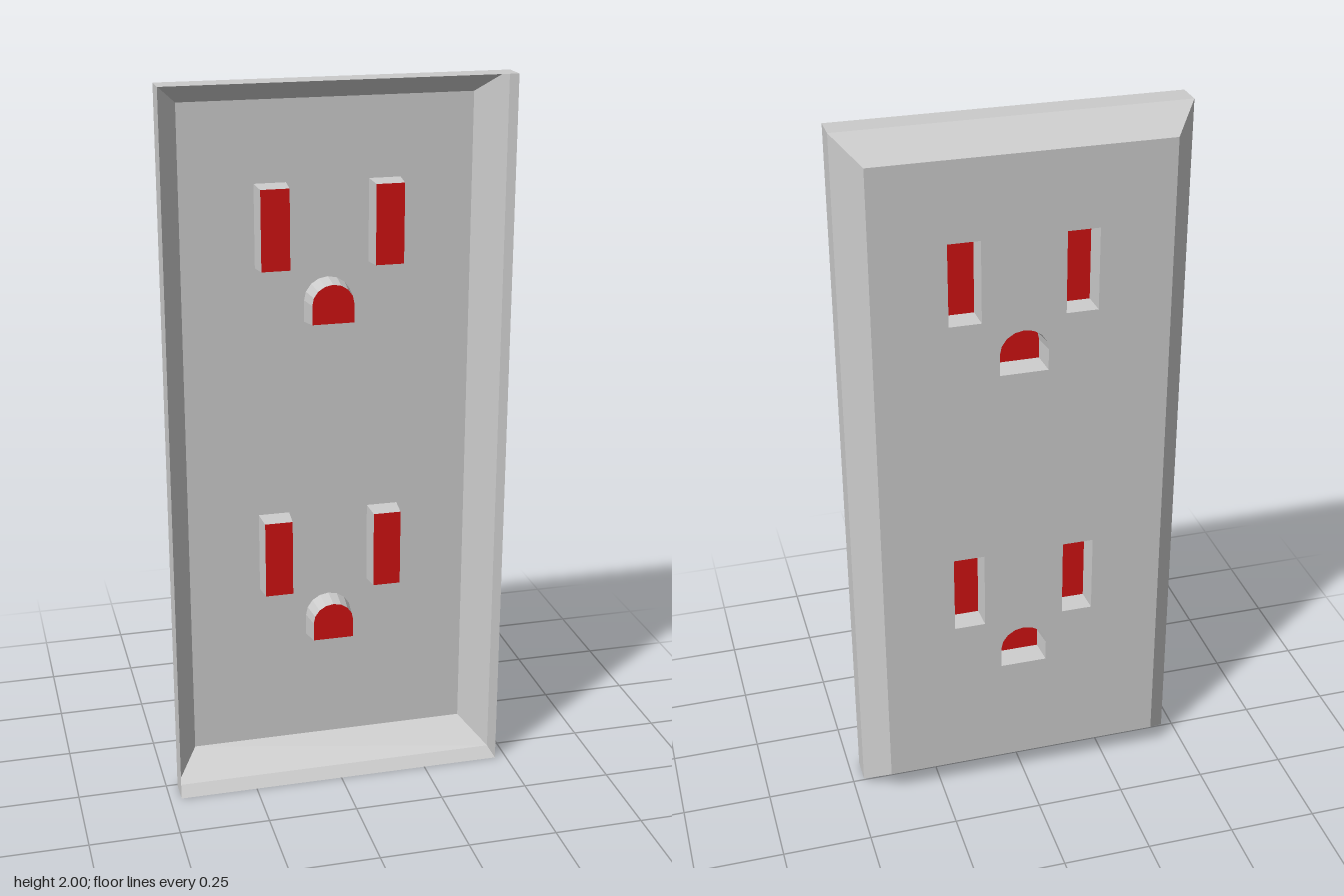
import * as THREE from 'three';

const FACE_Z = -0.08, EDGE_Z = 0.005, RIM_Z = 0.078, POCKET_Z = -0.018;
const grey = new THREE.MeshStandardMaterial({ color: 0xcccccc, side: THREE.DoubleSide, flatShading: true });
const red = new THREE.MeshStandardMaterial({ color: 0xd01212, side: THREE.DoubleSide, flatShading: true });

// Counter-clockwise rectangle outline
const rect = (x0, x1, y0, y1) =>
  [[x0, y0], [x1, y0], [x1, y1], [x0, y1]].map(([x, y]) => new THREE.Vector2(x, y));

// Arched outline: flat base, straight sides, half-round top
function arch(halfWidth, base, spring, top, segments = 8) {
  const pts = [new THREE.Vector2(-halfWidth, base), new THREE.Vector2(halfWidth, base)];
  for (let i = 0; i <= segments; i++) {
    const a = (Math.PI * i) / segments;
    pts.push(new THREE.Vector2(halfWidth * Math.cos(a), spring + (top - spring) * Math.sin(a)));
  }
  return pts;
}

// Wall joining two closed outlines with equal point counts at two depths
function band(a, za, b, zb) {
  const pos = [];
  a.forEach((p, i) => {
    const j = (i + 1) % a.length;
    const A = [p.x, p.y, za], B = [a[j].x, a[j].y, za];
    const C = [b[j].x, b[j].y, zb], D = [b[i].x, b[i].y, zb];
    pos.push(...A, ...B, ...C, ...A, ...C, ...D);
  });
  const g = new THREE.BufferGeometry();
  g.setAttribute('position', new THREE.Float32BufferAttribute(pos, 3));
  g.computeVertexNormals();
  return g;
}

function addMesh(parent, name, geometry, material) {
  const mesh = new THREE.Mesh(geometry, material);
  mesh.name = name;
  parent.add(mesh);
}

export function createModel() {
  const group = new THREE.Group();
  group.name = 'wallSocketPlate';

  // Hollow plate: straight rim and sloping border
  const outer = rect(-0.468, 0.468, 0, 2);
  const inner = rect(-0.4, 0.4, 0.07, 1.935);
  addMesh(group, 'rim', band(outer, EDGE_Z, outer, RIM_Z), grey);
  addMesh(group, 'bevel', band(inner, FACE_Z, outer, EDGE_Z), grey);

  // Two sockets, each with a pair of slots and an arched hole
  const face = new THREE.Shape(inner);
  [0.395, 1.332].forEach((y, n) => {
    const socket = new THREE.Group();
    socket.name = n ? 'upperSocket' : 'lowerSocket';
    group.add(socket);
    const openings = [
      ['rightSlot', rect(-0.2, -0.113, y + 0.157, y + 0.384), rect(-0.195, -0.117, y + 0.161, y + 0.38)],
      ['leftSlot', rect(0.113, 0.2, y + 0.157, y + 0.384), rect(0.117, 0.195, y + 0.161, y + 0.38)],
      ['groundHole', arch(0.066, y, y + 0.06, y + 0.123), arch(0.058, y + 0.007, y + 0.06, y + 0.115)],
    ];
    for (const [name, mouth, end] of openings) {
      face.holes.push(new THREE.Path(mouth));
      addMesh(socket, name + 'Wall', band(mouth, FACE_Z, end, POCKET_Z), grey);
      const cap = new THREE.ShapeGeometry(new THREE.Shape(end)).translate(0, 0, POCKET_Z);
      addMesh(socket, name + 'End', cap, red);
    }
  });

  // Flat face pierced by the openings
  const plate = new THREE.ShapeGeometry(face).rotateY(0).translate(0, 0, FACE_Z);
  addMesh(group, 'facePlate', plate, grey);
  return group;
}
